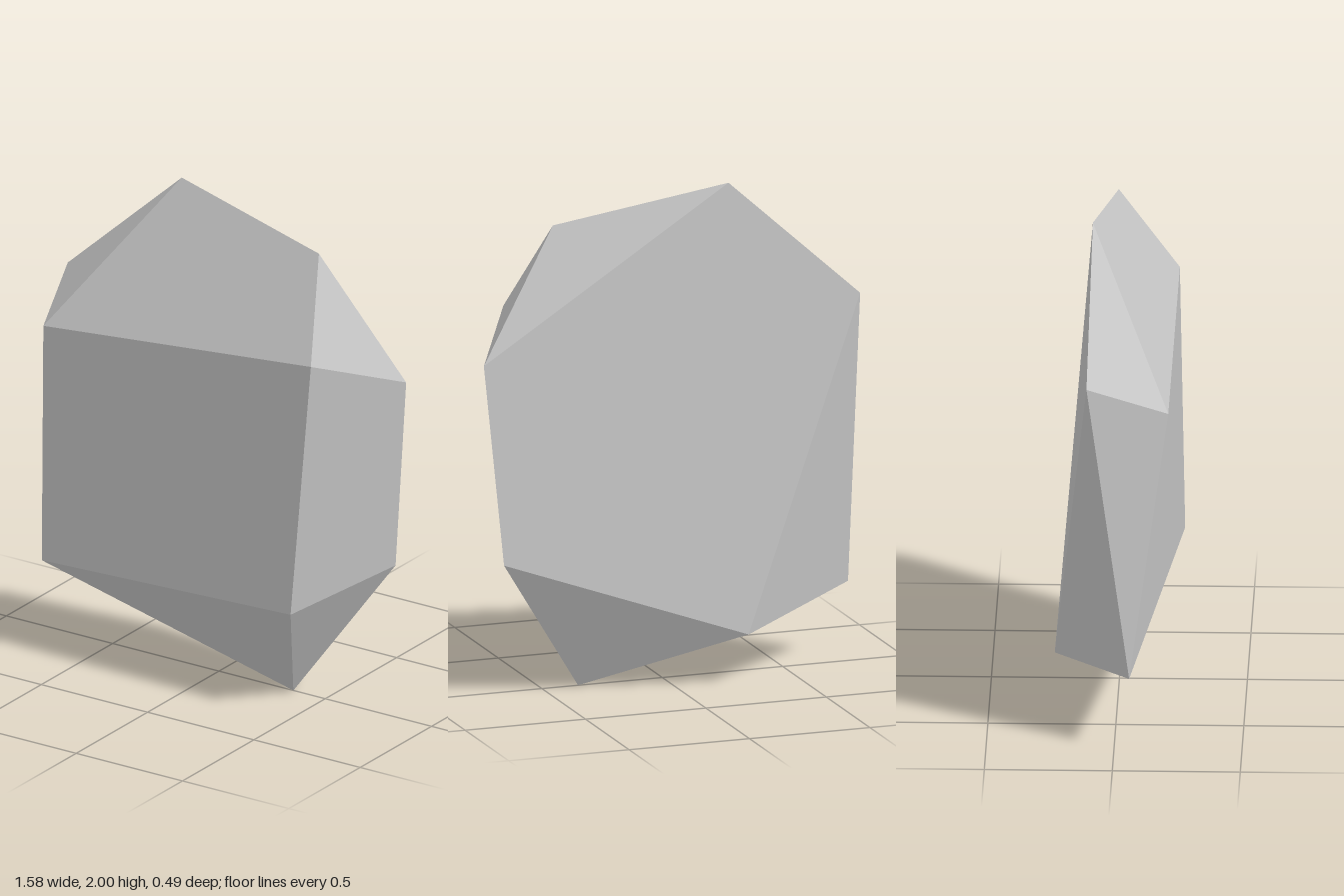
import * as THREE from 'three';

// Builds a faceted solid: each facet is a fan of triangles sharing one normal
function facetedGeometry(corners, facets) {
  const positions = [];
  const normals = [];
  for (const facet of facets) {
    const ring = facet.map((i) => new THREE.Vector3(...corners[i]));
    const normal = new THREE.Vector3();
    ring.forEach((p, i) => normal.add(p.clone().cross(ring[(i + 1) % ring.length])));
    normal.normalize();
    for (let i = 1; i < ring.length - 1; i++) {
      for (const p of [ring[0], ring[i], ring[i + 1]]) {
        positions.push(p.x, p.y, p.z);
        normals.push(normal.x, normal.y, normal.z);
      }
    }
  }
  const geometry = new THREE.BufferGeometry();
  geometry.setAttribute('position', new THREE.Float32BufferAttribute(positions, 3));
  geometry.setAttribute('normal', new THREE.Float32BufferAttribute(normals, 3));
  return geometry;
}

export function createModel() {
  const group = new THREE.Group();
  group.name = 'rock';

  const stone = new THREE.MeshStandardMaterial({ color: 0xc6c6c6 });
  stone.name = 'light grey stone';

  // Corners of the chipped, slab-like boulder
  const corners = [
    [-0.24, 2.0, -0.097], [0.46, 1.87, -0.015], // 0, 1 crown ridge
    [0.58, 1.5, 0.22], [-0.685, 1.375, 0.21], // 2, 3 upper front edge
    [-0.783, 1.51, -0.107], [0.79, 1.36, -0.135], // 4, 5 shoulders
    [0.5, 0.44, 0.243], [-0.793, 0.305, 0.06], // 6, 7 lower front edge
    [0.718, 0.557, -0.168], [-0.27, 0.21, -0.245], // 8, 9 lower back edge
    [0.35, 0, 0], // 10 foot
  ];

  const facets = [
    [0, 3, 2, 1], [3, 7, 6, 2], [7, 10, 6], // front: bevel, face, undercut
    [2, 5, 1], [5, 2, 6, 8], [6, 10, 8], // left side
    [0, 4, 3], [4, 7, 3], // right side
    [0, 1, 5], [9, 4, 0, 5, 8], [9, 7, 4], // back
    [7, 9, 10], [9, 8, 10], // underside
  ];

  const boulder = new THREE.Mesh(facetedGeometry(corners, facets), stone);
  boulder.name = 'boulder';
  group.add(boulder);
  return group;
}
